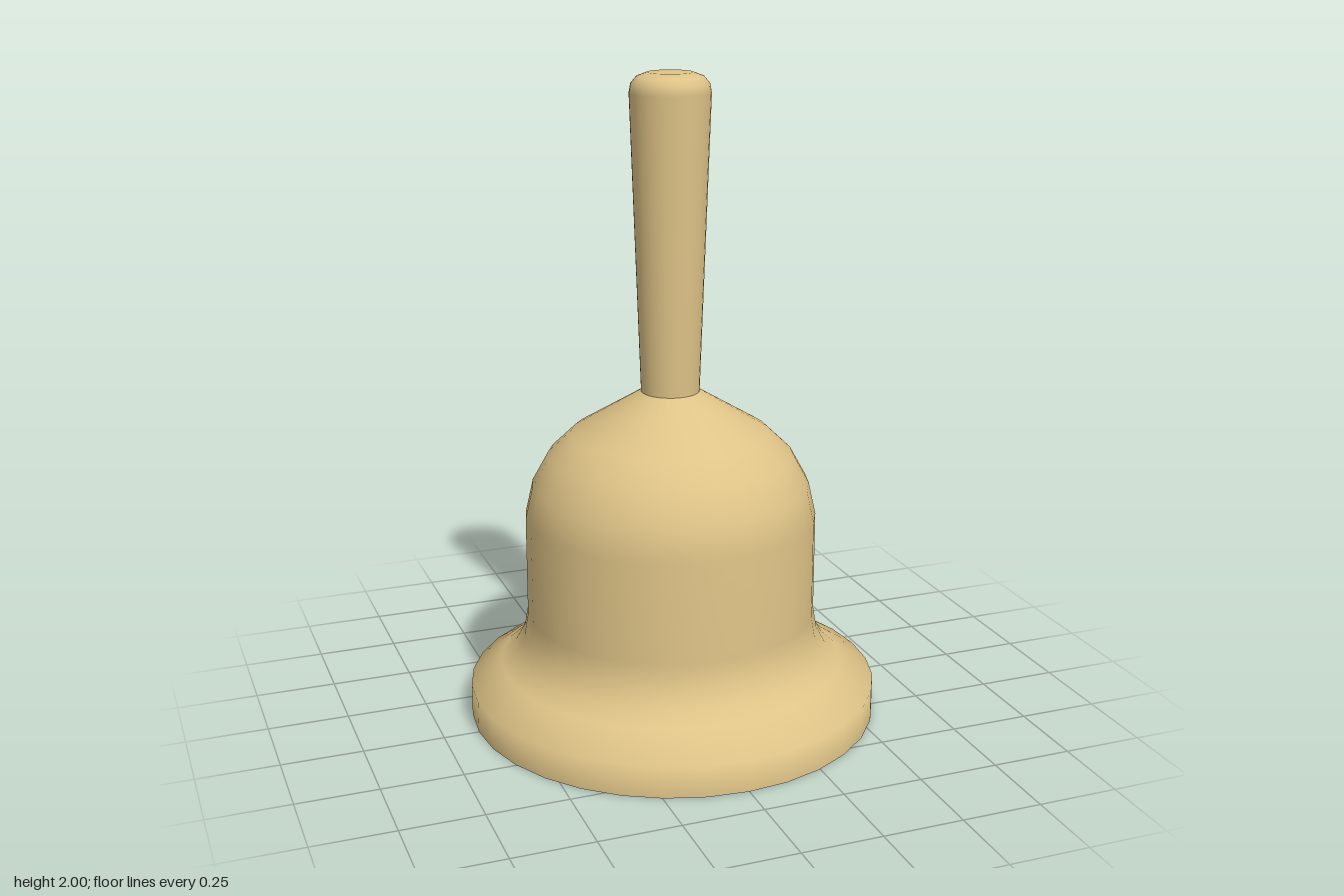
import * as THREE from 'three';

const SIDES = 32;
const OFFSET = -0.016; // the dome and handle sit slightly behind the lip's centre

// Smooth revolved surface; rows above the lip are shifted back
function turned(name, profile, material) {
  const geometry = new THREE.LatheGeometry(profile.map(([r, y]) => new THREE.Vector2(r, y)), SIDES);
  const pos = geometry.attributes.position;
  for (let i = 0; i < pos.count; i++) {
    if (pos.getY(i) > 0.11) pos.setZ(i, pos.getZ(i) + OFFSET);
  }
  const mesh = new THREE.Mesh(geometry, material);
  mesh.name = name;
  return mesh;
}

export function createModel() {
  const group = new THREE.Group();
  group.name = 'handBell';
  const brass = new THREE.MeshStandardMaterial({ color: 0xdec387, side: THREE.DoubleSide });

  // Open bell: upright lip, flared waist, straight wall, domed shoulder
  group.add(turned('bell', [
    [0.64, 0], [0.64, 0.1],
    [0.538, 0.16], [0.495, 0.2], [0.465, 0.255], [0.453, 0.325],
    [0.453, 0.64], [0.43, 0.742], [0.38, 0.833], [0.305, 0.905],
    [0.09, 1.035],
  ], brass));

  // Handle widening to a rounded end
  group.add(turned('handle', [
    [0.09, 1.035], [0.122, 1.94], [0.117, 1.968], [0.1, 1.988], [0.068, 2], [0, 2],
  ], brass));

  return group;
}
